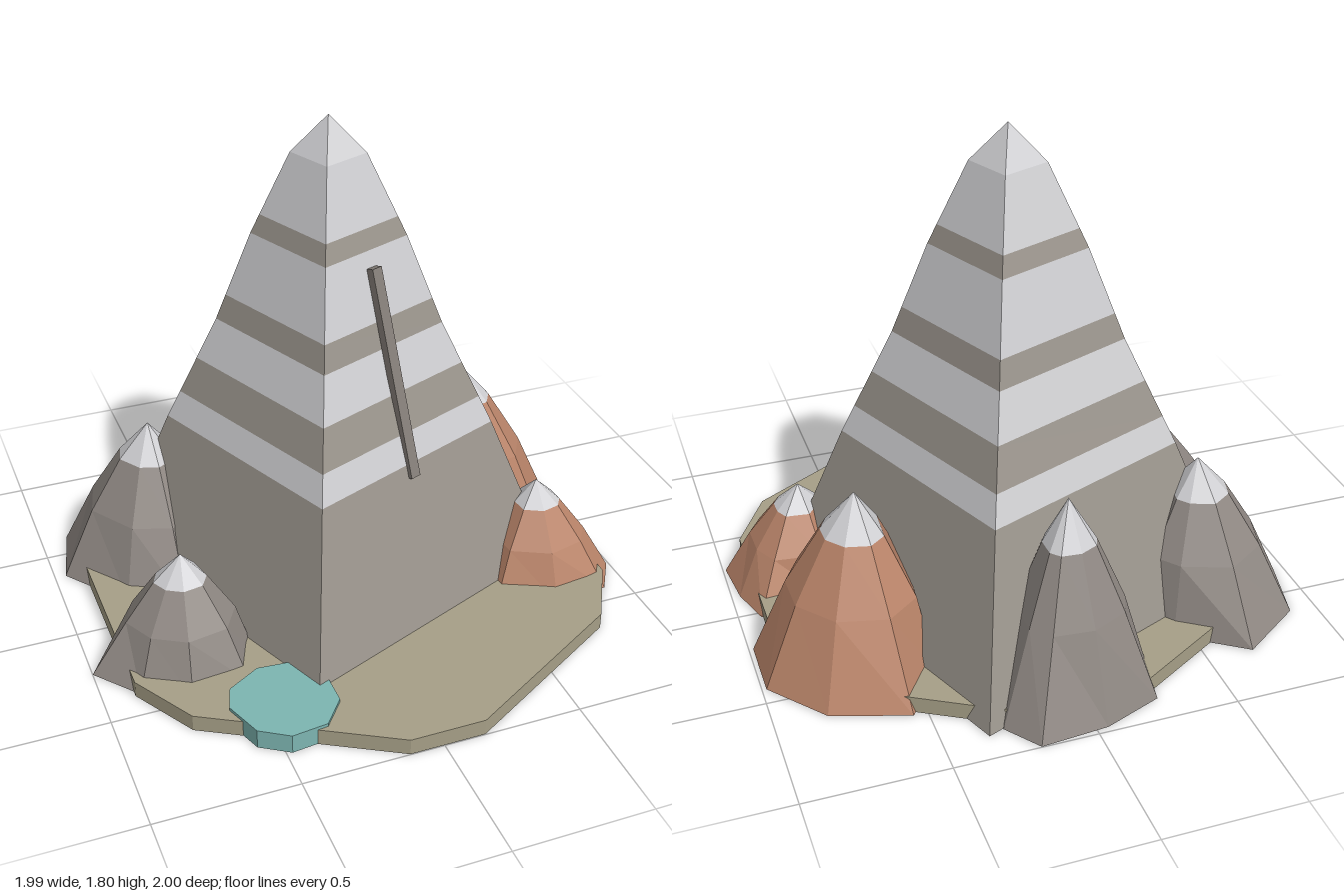
import * as THREE from 'three';

const mat = (name, color) => {
  const m = new THREE.MeshStandardMaterial({ color, flatShading: true });
  m.name = name;
  return m;
};

// Horizontal ring of points from an [x, z] outline, scaled about a centre
const ring = (outline, y, cx = 0, cz = 0, s = 1) =>
  outline.map(([x, z]) => new THREE.Vector3(cx + (x - cx) * s, y, cz + (z - cz) * s));

// Skin between stacked rings (bottom to top); a ring may collapse to a point
function loft(name, rings, material) {
  const pos = [];
  const tri = (a, b, c) => {
    if (a.distanceTo(b) < 1e-5 || b.distanceTo(c) < 1e-5 || c.distanceTo(a) < 1e-5) return;
    for (const p of [a, b, c]) pos.push(p.x, p.y, p.z);
  };
  for (let k = 0; k < rings.length - 1; k++) {
    const lo = rings[k], up = rings[k + 1], n = lo.length;
    for (let i = 0; i < n; i++) {
      const j = (i + 1) % n;
      tri(lo[i], up[i], up[j]);
      tri(lo[i], up[j], lo[j]);
    }
  }
  const g = new THREE.BufferGeometry();
  g.setAttribute('position', new THREE.Float32BufferAttribute(pos, 3));
  g.computeVertexNormals();
  const mesh = new THREE.Mesh(g, material);
  mesh.name = name;
  return mesh;
}

// Flat slab with the given outline
const slab = (name, o, y0, y1, cx, cz, material) =>
  loft(name, [ring(o, y0, cx, cz, 0), ring(o, y0), ring(o, y1), ring(o, y1, cx, cz, 0)], material);

export function createModel() {
  const root = new THREE.Group();
  root.name = 'mountainIsland';
  const snow = mat('snow', 0xcfcfd2);
  const rock = mat('rock', 0x9a948c);
  const greyRock = mat('greyRock', 0x8f8883);
  const clay = mat('clay', 0xb98469);
  const sand = mat('sand', 0xa69f87);
  const water = mat('water', 0x7db5b1);
  const slotStone = mat('slotStone', 0x857e78);

  // Island: hexagon with cut corners
  const island = [];
  for (let i = 0; i < 6; i++) {
    const a = Math.PI / 2 + (i * Math.PI) / 3;
    for (const t of [-0.135, 0.135]) {
      island.push([0.013 + 0.963 * Math.cos(a) - t * Math.sin(a), 0.035 + 0.963 * Math.sin(a) + t * Math.cos(a)]);
    }
  }
  root.add(slab('island', island, 0, 0.06, 0.013, 0.035, sand));

  // Pond
  const pond = [[-0.63, 0.65], [-0.6, 0.56], [-0.48, 0.49], [-0.36, 0.5], [-0.27, 0.57],
    [-0.27, 0.74], [-0.35, 0.84], [-0.48, 0.855], [-0.58, 0.79]];
  root.add(slab('pond', pond, -0.0 + 0.001, 0.072, -0.45, 0.67, water));

  // Main peak: four-sided, banded with snow
  const px = 0.012, pz = -0.11;
  const square = [];
  for (let i = 0; i < 4; i++) {
    const a = Math.atan2(0.76, -0.32) + (i * Math.PI) / 2;
    square.push([px + Math.cos(a), pz + Math.sin(a)]);
  }
  const profile = [[0, 0.855], [0.63, 0.592], [1.03, 0.402], [1.37, 0.27], [1.67, 0.13], [1.805, 0]];
  const radiusAt = (y) => {
    const k = Math.max(1, profile.findIndex((p) => p[0] >= y));
    const [y0, r0] = profile[k - 1], [y1, r1] = profile[k];
    return r0 + ((r1 - r0) * (y - y0)) / (y1 - y0);
  };
  const peak = new THREE.Group();
  peak.name = 'mainPeak';
  const bands = [0, 0.63, 0.735, 0.875, 1.035, 1.13, 1.37, 1.44, 1.805];
  for (let i = 0; i < bands.length - 1; i++) {
    const y0 = bands[i], y1 = bands[i + 1];
    const ys = [y0, ...profile.map((p) => p[0]).filter((y) => y > y0 + 0.01 && y < y1 - 0.01), y1];
    const rings = ys.map((y) => ring(square, y, px, pz, radiusAt(y)));
    if (i === 0) rings[0] = ring(square, 0.002, px, pz, radiusAt(0));
    if (i === 0) rings.unshift(ring(square, 0.002, px, pz, 0));
    peak.add(loft(i % 2 ? 'snowBand' : 'rockBand', rings, i % 2 ? snow : rock));
  }
  root.add(peak);

  // Long narrow rib lying on the front face
  const rib = new THREE.Mesh(new THREE.BoxGeometry(0.042, 0.765, 0.03), slotStone);
  rib.name = 'faceRib';
  const up = new THREE.Vector3(-0.077, 0.73, -0.195).normalize();
  const side = new THREE.Vector3(0.926, 0, -0.377).cross(up).cross(up).negate().normalize();
  rib.quaternion.setFromRotationMatrix(
    new THREE.Matrix4().makeBasis(side, up, new THREE.Vector3().crossVectors(side, up)));
  rib.position.set(0.138, 0.95, 0.192);
  root.add(rib);

  // Small snow-capped peaks: apex x, height, apex z, foot outline
  const hills = [
    ['frontLeftHill', greyRock, -0.665, 0.43, 0.24, [[-1, 0.24], [-0.88, 0.08], [-0.75, 0.02],
      [-0.57, -0.02], [-0.47, 0.05], [-0.43, 0.3], [-0.5, 0.47], [-0.71, 0.49], [-0.87, 0.4]]],
    ['backLeftHill', greyRock, -0.6, 0.585, -0.39, [[-0.96, -0.36], [-0.9, -0.61], [-0.67, -0.77],
      [-0.44, -0.61], [-0.36, -0.5], [-0.4, -0.2], [-0.58, -0.02], [-0.78, -0.12]]],
    ['backHill', greyRock, 0, 0.72, -0.68, [[-0.25, -0.9], [-0.04, -0.98], [0.2, -1], [0.29, -0.88],
      [0.22, -0.65], [0.12, -0.57], [-0.13, -0.57], [-0.28, -0.75]]],
    ['backRightHill', clay, 0.62, 0.64, -0.3, [[0.55, -0.72], [0.82, -0.63], [0.985, -0.43], [0.985, -0.2],
      [0.88, -0.02], [0.65, 0.02], [0.45, -0.2], [0.41, -0.52]]],
    ['frontRightHill', clay, 0.715, 0.39, 0.2, [[0.66, -0.01], [0.92, -0.03], [0.97, 0.12], [0.99, 0.3],
      [0.91, 0.43], [0.7, 0.455], [0.5, 0.36], [0.54, 0.18]]],
  ];
  for (const [name, material, x, h, z, foot] of hills) {
    const g = new THREE.Group();
    g.name = name;
    // The outline grows rounder towards the top
    const mean = foot.reduce((s, p) => s + Math.hypot(p[0] - x, p[1] - z), 0) / foot.length;
    const round = foot.map(([a, b]) => {
      const d = Math.hypot(a - x, b - z), f = (0.35 * d + 0.65 * mean) / d;
      return [x + (a - x) * f, z + (b - z) * f];
    });
    const mid = ring(round, h * 0.45, x, z, 0.7);
    const cap = ring(round, h * 0.78, x, z, 0.34);
    g.add(loft('slope', [ring(foot, 0.002, x, z, 0), ring(foot, 0.002), mid, cap], material));
    g.add(loft('snowCap', [cap, ring(round, h, x, z, 0)], snow));
    root.add(g);
  }
  return root;
}
